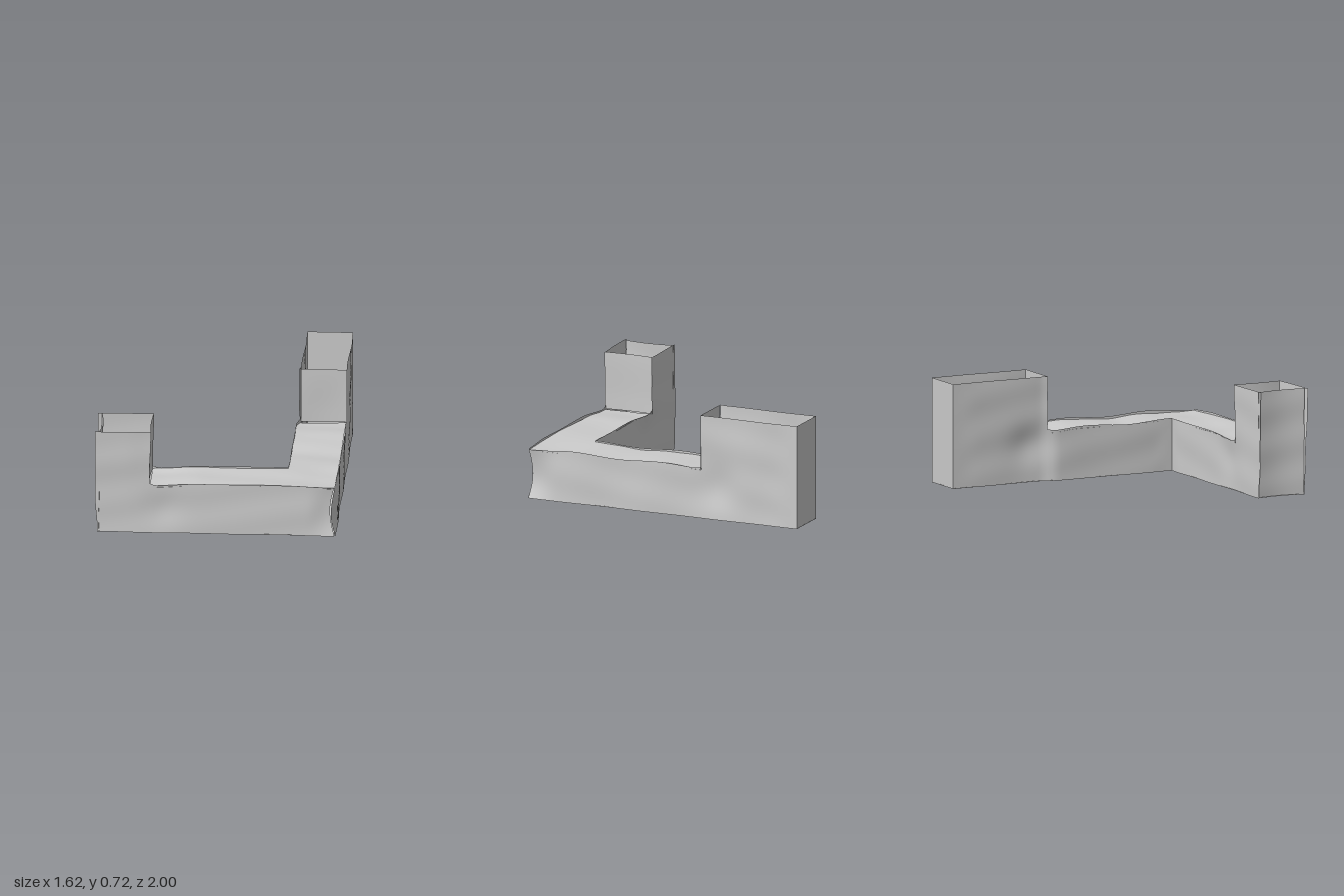
import * as THREE from 'three';
import { mergeGeometries, mergeVertices } from 'three/addons/utils/BufferGeometryUtils.js';

const material = new THREE.MeshStandardMaterial({ color: 0xcccccc, side: THREE.DoubleSide });
const smooth = THREE.MathUtils.smoothstep;
const bump = (a, b, ca, cb, r) => Math.exp(-((a - ca) ** 2 + (b - cb) ** 2) / (r * r));

// Wavy upper rim of the two duct runs
const rimX = (x) => 0.335 + 0.02 * smooth(x, -0.4, -0.1) - 0.012 * smooth(x, 0.5, 0.8);
const rimZ = (z) => 0.349 + 0.008 * Math.cos(z * 10) - 0.006 * smooth(z, 0.7, 0.98);
// Soft ripples of the sheet
const ripple = (a, b) => 0.003 * Math.sin(a * 11 + b * 5) + 0.002 * Math.sin(b * 23 - a * 4);

// Pinch the outer corner of the bend at mid height
function pinch([x, y, z]) {
  const w = Math.sin(Math.PI * Math.min(1, Math.max(0, y / 0.35)));
  const k = w * smooth(x, 0.6, 0.8) * smooth(z, 0.75, 0.98);
  return [x - 0.03 * k, y, z - 0.02 * k];
}

// Smooth sheet made of rectangles [u0, v0, u1, v1] placed by map(u, v)
function sheet(name, rects, map) {
  const parts = rects.map(([u0, v0, u1, v1]) => {
    const w = u1 - u0, h = v1 - v0;
    const g = new THREE.PlaneGeometry(w, h, Math.ceil(w / 0.03), Math.ceil(h / 0.03));
    g.translate((u0 + u1) / 2, (v0 + v1) / 2, 0);
    g.deleteAttribute('uv');
    g.deleteAttribute('normal');
    const p = g.attributes.position;
    for (let i = 0; i < p.count; i++) p.setXYZ(i, ...pinch(map(p.getX(i), p.getY(i))));
    return g;
  });
  const geometry = mergeVertices(mergeGeometries(parts), 1e-4);
  geometry.computeVertexNormals();
  const mesh = new THREE.Mesh(geometry, material);
  mesh.name = name;
  return mesh;
}

export function createModel() {
  const group = new THREE.Group();
  group.name = 'bentDuct';
  const H = 0.35;

  // Front and rear sides of the cross run, with the small tower
  const crossX = (x, y) =>
    x - 0.015 * smooth(y, 0, 0.25) * smooth(-x, 0.6, 0.8) + 0.01 * smooth(y, 0.4, 0.7) * smooth(x, -0.6, -0.44) * smooth(-x, 0.42, 0.44);
  const crossY = (x, y) => (y > H ? y : y * (1 + (rimX(x) / H - 1) * smooth(x, -0.445, -0.4)));
  const crossRects = (end) => [[-0.795, 0, -0.445, H], [-0.795, H, -0.445, 0.72], [-0.445, 0, end, H]];
  group.add(sheet('crossFrontSide', crossRects(0.795), (x, y) =>
    [crossX(x, y), crossY(x, y), 0.982 + ripple(x, y) - 0.015 * bump(x, y, -0.35, 0.2, 0.13)
      + 0.012 * smooth(y, 0.2, 0.7) * smooth(-x, 0.4, 0.6)]));
  group.add(sheet('crossRearSide', crossRects(0.468), (x, y) =>
    [crossX(x, y), crossY(x, y), 0.638 + ripple(x, y) * smooth(-x, -0.46, -0.35)
      + 0.015 * bump(x, y, -0.35, 0.2, 0.13)]));

  // Outer and inner sides of the long run, with the large tower
  const longY = (z, y) => (y > H ? y : y * (1 + (rimZ(z) / H - 1) * smooth(z, -0.29, -0.24)));
  const longRects = (end) => [[-1, 0, -0.29, H], [-1, H, -0.29, 0.71], [-0.29, 0, end, H]];
  const dent = (z, y) => 0.028 * bump(z, y, -0.42, 0.24, 0.14);
  group.add(sheet('longOuterSide', longRects(0.98), (z, y) =>
    [0.803 + ripple(z, y) * smooth(z, -1, -0.8) - dent(z, y), longY(z, y), z]));
  const innerX = (z) => 0.497 - 0.03 * smooth(z, -0.34, -0.22);
  group.add(sheet('longInnerSide', longRects(0.638), (z, y) =>
    [innerX(z) + ripple(z, y) * smooth(z, -1, -0.8) * smooth(-z, -0.62, -0.5) + dent(z, y), longY(z, y), z]));

  // Floor and lid; the rims of the sides stand slightly proud of both
  group.add(sheet('floor', [[-0.785, 0.638, 0.468, 0.98], [0.468, 0.638, 0.8, 0.98], [0.468, -1, 0.8, 0.638]],
    (x, z) => [x < 0.47 && z < 0.637 ? innerX(z) : x, 0.004, z]));
  group.add(sheet('lid', [[-0.445, 0.638, 0.468, 0.98], [0.468, 0.638, 0.8, 0.98], [0.468, -0.29, 0.8, 0.638]],
    (x, z) => {
      const t = smooth(z, 0.55, 0.75);
      const y = rimX(x) * t + rimZ(z) * (1 - t) - 0.012;
      return [x < 0.47 && z < 0.637 ? innerX(z) : x, y + ripple(x, z), z];
    }));

  // Small tower: bowed end wall and inner wall, open on top
  const bow = (z) => Math.sin(Math.PI * (z - 0.638) / 0.347);
  group.add(sheet('smallTowerEndWall', [[0.638, 0, 0.985, 0.72]], (z, y) =>
    [-0.782 + 0.018 * bow(z) + ripple(z, y), y, z]));
  group.add(sheet('smallTowerInnerWall', [[0.638, 0.325, 0.985, 0.72]], (z, y) =>
    [-0.443 - 0.01 * bow(z) + 0.008 * smooth(y, 0.4, 0.7), y, z]));

  // Large tower: flat back wall and front wall, open on top
  group.add(sheet('largeTowerBackWall', [[0.497, 0, 0.803, 0.71]], (x, y) => [x, y, -0.999]));
  group.add(sheet('largeTowerFrontWall', [[0.497, 0.335, 0.803, 0.71]], (x, y) =>
    [x, y, -0.291 - 0.008 * Math.sin(Math.PI * (x - 0.497) / 0.306) * smooth(-y, -0.7, -0.4)]));

  return group;
}
